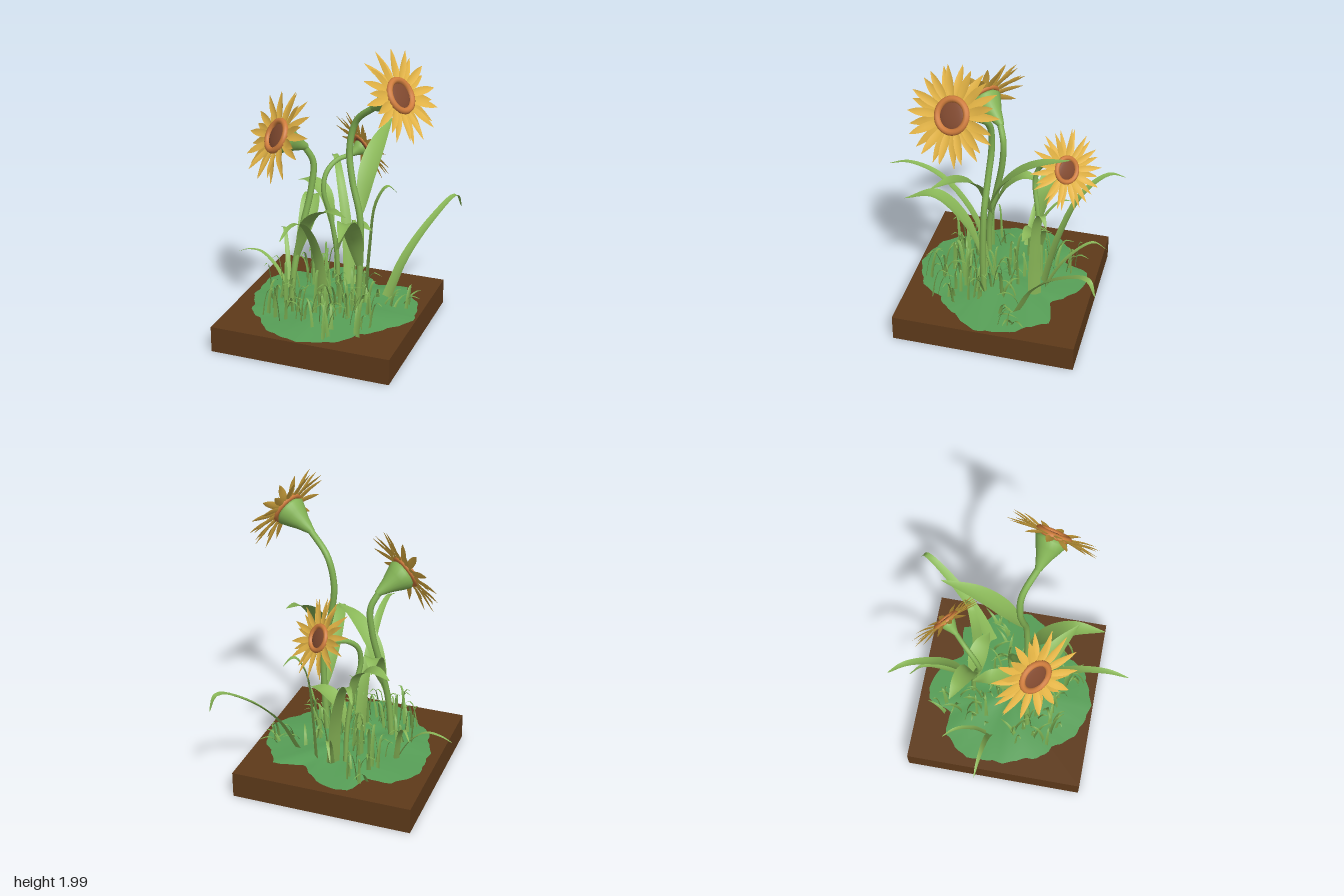
import * as THREE from 'three';
import { mergeGeometries } from 'three/addons/utils/BufferGeometryUtils.js';

const mat = (color) => new THREE.MeshStandardMaterial({ color, side: THREE.DoubleSide });
const soil = mat(0x5e3a1a), turf = mat(0x579f57), stemGreen = mat(0x83b355), leafGreen = mat(0x8ab858);
const grassGreen = mat(0x79ab50), yellow = mat(0xe4b445), orange = mat(0xcf7c3c), seedBrown = mat(0x824a30);
const V = (p) => new THREE.Vector3(...p);

function part(parent, name, geometry, material) {
  const mesh = new THREE.Mesh(geometry, material);
  mesh.name = name;
  parent.add(mesh);
  return mesh;
}

// seeded random numbers
let seed = 7;
const rand = (a = 0, b = 1) => {
  seed = (seed * 16807) % 2147483647;
  return a + (b - a) * (seed / 2147483647);
};

// Ribbon along a curve: three points per row, the middle one sunk to form a crease
function ribbon(points, width, profile, rows = 14, crease = 0.15) {
  const curve = new THREE.CatmullRomCurve3(points.map(V));
  const span = V(points.at(-1)).sub(V(points[0])).setY(0);
  const side = new THREE.Vector3(-span.z, 0, span.x).normalize();
  const pos = [], index = [];
  for (let i = 0; i <= rows; i++) {
    const t = i / rows, c = curve.getPoint(t), w = width * profile(t);
    const up = new THREE.Vector3().crossVectors(side, curve.getTangent(t)).normalize();
    if (up.y < 0) up.negate();
    for (const s of [-1, 0, 1]) {
      const p = c.clone().addScaledVector(side, s * w / 2).addScaledVector(up, s ? w * crease : 0);
      pos.push(p.x, p.y, p.z);
    }
    if (i < rows) for (const k of [3 * i, 3 * i + 1]) index.push(k, k + 1, k + 3, k + 1, k + 4, k + 3);
  }
  const g = new THREE.BufferGeometry();
  g.setAttribute('position', new THREE.Float32BufferAttribute(pos, 3));
  g.setIndex(index);
  g.computeVertexNormals();
  return g;
}
const leafShape = (t) => 0.05 + 0.95 * Math.sin(Math.PI * Math.pow(t, 0.85)) * (1 - 0.05 * t);
const bladeShape = (t) => Math.pow(1 - t, 0.65) + 0.03;
const petalShape = (t) => 0.03 + 0.97 * Math.sin(Math.PI * (0.1 + 0.9 * t));

// Flower head: local y is the way it faces, origin at the disc
function flowerHead({ size, reach, cupScale }) {
  const head = new THREE.Group();
  head.name = 'flowerHead';
  const profile = [[0.02, -0.23], [0.031, -0.2], [0.053, -0.14], [0.083, -0.08], [0.105, -0.03], [0.09, -0.01]];
  const cup = part(head, 'cup', new THREE.LatheGeometry(profile.map((p) => new THREE.Vector2(...p)), 24), stemGreen);
  cup.scale.setScalar(cupScale);
  // two layers of petals, one raised and one laid back
  const petals = [];
  const count = 26;
  for (let i = 0; i < count; i++) {
    const lift = i % 2 ? rand(0.02, 0.045) : rand(-0.03, -0.005);
    const tip = reach * (i % 2 ? 0.96 : 1) + rand(-0.008, 0.008);
    const g = ribbon([[0.08, 0, 0], [0.15, 0.2 * lift, 0], [0.23, 0.7 * lift, 0], [tip, lift, 0]],
      0.052, petalShape, 8, 0.14);
    petals.push(g.rotateY((i + rand(-0.2, 0.2)) / count * Math.PI * 2));
  }
  part(head, 'petals', mergeGeometries(petals), yellow);
  const rim = part(head, 'discRim', new THREE.TorusGeometry(0.097, 0.02, 10, 36).rotateX(Math.PI / 2), orange);
  rim.position.y = 0.008;
  const disc = part(head, 'seedDisc', new THREE.SphereGeometry(0.09, 24, 10), seedBrown);
  disc.scale.y = 0.2;
  head.scale.setScalar(size);
  return head;
}

const flowers = [
  { // tall flower
    centre: [0.515, 1.725, 0.165], facing: [0.82, 0.49, 0.25], size: 1, reach: 0.305, cupScale: 1,
    stem: [[0.22, 0.17, 0.07], [0.24, 0.5, 0.07], [0.235, 0.85, 0.06], [0.175, 1.1, 0.045], [0.15, 1.3, 0.03], [0.195, 1.49, 0.035]],
    leaves: [
      [[0.24, 0.48, 0.07], [0.235, 0.75, 0.19], [0.25, 0.94, 0.38], [0.28, 0.9, 0.57]],
      [[0.235, 0.85, 0.05], [0.235, 1.1, -0.08], [0.25, 1.27, -0.27], [0.26, 1.355, -0.49]],
    ],
  },
  { // middle flower
    centre: [-0.27, 1.385, 0.195], facing: [-0.59, 0.46, 0.67], size: 1, reach: 0.305, cupScale: 1,
    stem: [[-0.21, 0.17, 0.15], [-0.19, 0.45, 0.14], [-0.15, 0.75, 0.08], [-0.11, 1, 0.03], [-0.1, 1.18, 0.02]],
    leaves: [
      [[-0.18, 0.5, 0.12], [-0.06, 0.82, 0.19], [0.1, 0.96, 0.29], [0.26, 0.99, 0.4]],
      [[-0.17, 0.55, 0.12], [-0.14, 0.8, 0], [-0.16, 0.89, -0.11], [-0.19, 0.84, -0.22]],
    ],
  },
  { // short flower
    centre: [0.075, 1.155, -0.43], facing: [0.57, 0.43, -0.7], size: 0.78, reach: 0.335, cupScale: 0.66,
    stem: [[-0.03, 0.17, -0.26], [-0.04, 0.45, -0.25], [-0.07, 0.7, -0.22], [-0.11, 0.9, -0.19], [-0.1, 1.02, -0.22], [-0.05, 1.09, -0.29]],
    leaves: [
      [[-0.06, 0.6, -0.23], [-0.13, 0.84, -0.26], [-0.24, 0.91, -0.3], [-0.35, 0.89, -0.34]],
      [[-0.04, 0.42, -0.25], [0.04, 0.61, -0.24], [0.14, 0.67, -0.22], [0.23, 0.66, -0.19]],
    ],
  },
];

// Long arching blades: points from root to tip, then width
const longBlades = [
  [[[0, 0.17, 0.1], [-0.01, 0.6, 0.19], [-0.015, 0.9, 0.42], [-0.015, 0.975, 0.63], [-0.02, 0.94, 0.77]], 0.08],
  [[[0.34, 0.17, -0.2], [0.43, 0.45, -0.32], [0.56, 0.68, -0.52], [0.66, 0.785, -0.7], [0.685, 0.69, -0.75]], 0.09],
  [[[0.04, 0.17, -0.3], [-0.02, 0.58, -0.39], [-0.11, 0.86, -0.51], [-0.2, 0.975, -0.66], [-0.26, 0.93, -0.76]], 0.085],
  [[[0.18, 0.17, -0.27], [0.2, 0.5, -0.27], [0.23, 0.82, -0.29], [0.29, 0.93, -0.33], [0.345, 0.88, -0.37]], 0.09],
  [[[-0.33, 0.17, -0.09], [-0.42, 0.33, -0.1], [-0.53, 0.42, -0.11], [-0.63, 0.42, -0.12], [-0.71, 0.39, -0.125]], 0.045],
  [[[-0.33, 0.17, -0.11], [-0.38, 0.42, -0.2], [-0.44, 0.53, -0.3], [-0.5, 0.5, -0.38]], 0.04],
  [[[0.05, 0.17, -0.31], [0.01, 0.4, -0.44], [-0.04, 0.53, -0.6], [-0.09, 0.45, -0.69]], 0.045],
];

export function createModel() {
  const model = new THREE.Group();

  part(model, 'soilBlock', new THREE.BoxGeometry(1.205, 0.175, 1.205), soil).position.set(0.0125, 0.0875, -0.02);

  // Turf: a low mound with an uneven outline, one radius every 15 degrees
  const outline = [0.6, 0.55, 0.5, 0.48, 0.52, 0.55, 0.56, 0.56, 0.53, 0.5, 0.51, 0.5,
    0.52, 0.54, 0.57, 0.54, 0.45, 0.57, 0.57, 0.48, 0.44, 0.58, 0.57, 0.59];
  const mound = new THREE.RingGeometry(0, 1, 96, 8);
  const p = mound.attributes.position;
  for (let i = 0; i < p.count; i++) {
    const r = Math.hypot(p.getX(i), p.getY(i)), a = Math.atan2(-p.getY(i), p.getX(i));
    const k = ((a / (2 * Math.PI) + 1) % 1) * 24, k0 = Math.floor(k) % 24;
    const edge = THREE.MathUtils.lerp(outline[k0], outline[(k0 + 1) % 24], k - Math.floor(k))
      + 0.008 * Math.sin(13 * a) + 0.006 * Math.sin(29 * a);
    const y = 0.176 + 0.028 * (1 - r * r) + 0.007 * r * (1 - r) * 4 * Math.sin(5 * a);
    p.setXYZ(i, r * edge * Math.cos(a), y, r * edge * Math.sin(a));
  }
  mound.computeVertexNormals();
  part(model, 'turf', mound, turf);

  for (const f of flowers) {
    const plant = new THREE.Group();
    plant.name = 'flower';
    const n = V(f.facing).normalize();
    const end = V(f.centre).addScaledVector(n, -0.21 * f.size * f.cupScale);
    const path = new THREE.CatmullRomCurve3([...f.stem.map(V), end]);
    part(plant, 'stem', new THREE.TubeGeometry(path, 48, 0.021 * f.size, 10), stemGreen);
    const head = flowerHead(f);
    head.position.copy(V(f.centre));
    head.quaternion.setFromUnitVectors(new THREE.Vector3(0, 1, 0), n);
    plant.add(head);
    for (const leaf of f.leaves) part(plant, 'leaf', ribbon(leaf, 0.13, leafShape, 20), leafGreen);
    model.add(plant);
  }

  for (const [points, width] of longBlades) {
    part(model, 'longBlade', ribbon(points, width, bladeShape, 20), leafGreen);
  }

  // Short grass in loose tufts: x, z and the greatest height of each
  const blades = [];
  const tufts = [[-0.2, -0.2, 0.3], [-0.18, -0.38, 0.22], [0.08, 0.44, 0.24], [0.32, 0.3, 0.24], [0.45, -0.16, 0.14],
    [0.03, 0, 0.34], [0.15, 0.15, 0.3], [-0.1, 0.25, 0.32], [0.2, -0.1, 0.28], [-0.3, 0.15, 0.36],
    [0.05, 0.25, 0.28], [-0.02, -0.12, 0.34], [-0.25, 0.3, 0.28], [0.26, 0.1, 0.26]];
  for (const [tx, tz, tall] of tufts) {
    for (let i = 0; i < 8; i++) {
      const x = tx + rand(-0.09, 0.09), z = tz + rand(-0.09, 0.09);
      const a = rand(0, Math.PI * 2), h = tall * rand(0.35, 1), lean = rand(0.02, 0.11);
      const at = (d, y) => [x + Math.cos(a) * d, 0.18 + y, z + Math.sin(a) * d];
      blades.push(ribbon([at(0, 0), at(lean * 0.25, h * 0.6), at(lean * 0.7, h), at(lean * 1.3, h * 0.94)],
        rand(0.018, 0.032), bladeShape, 7));
    }
  }
  part(model, 'grass', mergeGeometries(blades), grassGreen);
  return model;
}
